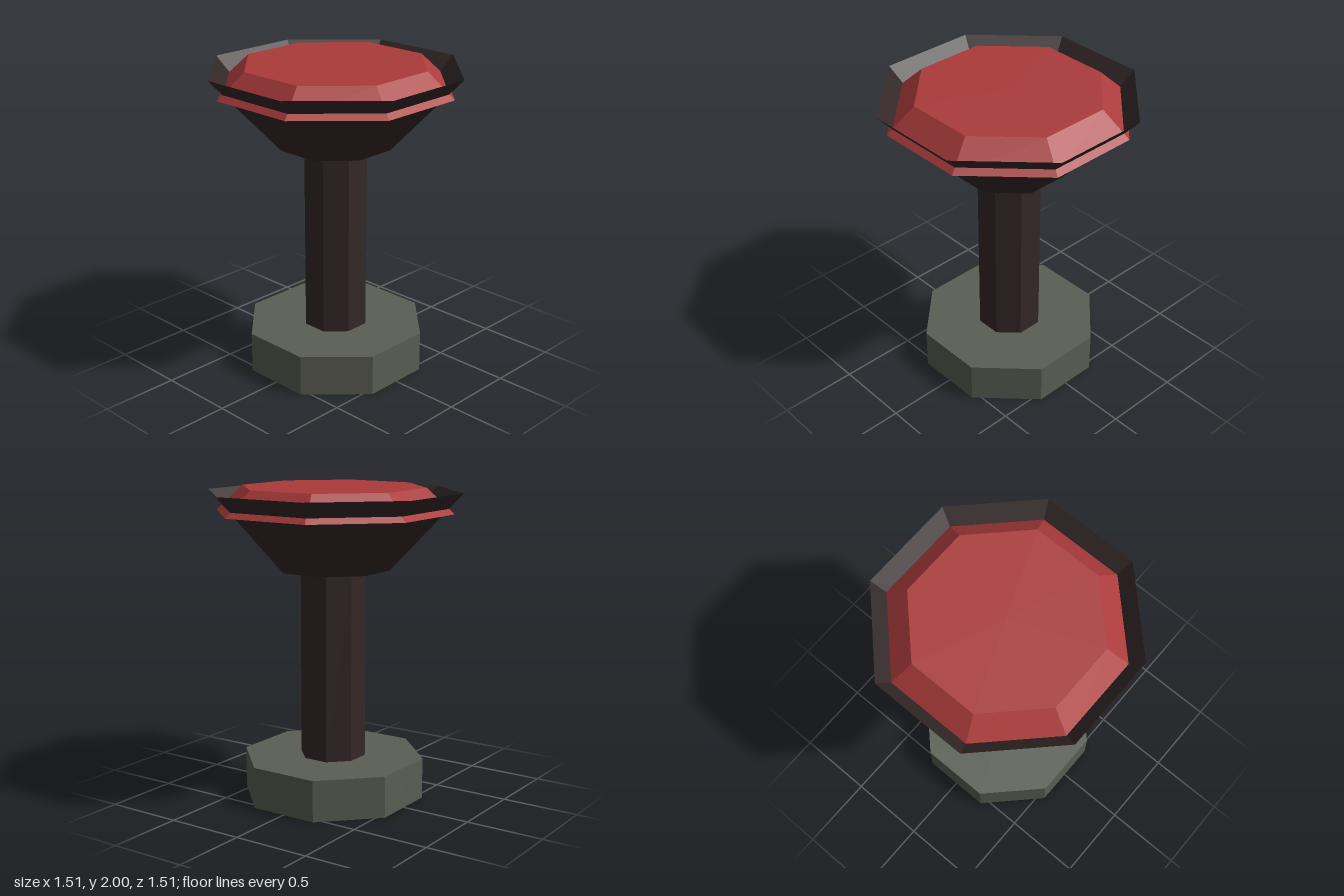
import * as THREE from 'three';

const material = (name, color) => {
  const m = new THREE.MeshStandardMaterial({ color, flatShading: true, side: THREE.DoubleSide });
  m.name = name;
  return m;
};

// Octagonal frustum wall with flats facing the axes; sizes are centre-to-flat
function octagonWall(name, mat, bottom, top, y0, y1) {
  const k = 1 / Math.cos(Math.PI / 8);
  const geometry = new THREE.CylinderGeometry(top * k, bottom * k, y1 - y0, 8, 1, true, Math.PI / 8);
  const mesh = new THREE.Mesh(geometry, mat);
  mesh.name = name;
  mesh.position.y = (y0 + y1) / 2;
  return mesh;
}

// Flat octagonal plate facing up or down
function octagonPlate(name, mat, size, y, facing) {
  const geometry = new THREE.CircleGeometry(size / Math.cos(Math.PI / 8), 8, Math.PI / 8);
  const mesh = new THREE.Mesh(geometry, mat);
  mesh.name = name;
  mesh.rotation.x = -facing * Math.PI / 2;
  mesh.position.y = y;
  return mesh;
}

export function createModel() {
  const stone = material('grey green', 0x5a5e53);
  const dark = material('dark brown', 0x342828);
  const red = material('cushion red', 0xab3b3b);

  const group = new THREE.Group();
  group.name = 'stool';
  group.add(
    // hollow foot, open underneath
    octagonWall('footWall', stone, 0.545, 0.545, 0, 0.265),
    octagonPlate('footTop', stone, 0.545, 0.265, 1),
    // column
    octagonWall('column', dark, 0.195, 0.195, 0.265, 1.48),
    // flared bowl, open at the top
    octagonWall('bowlWall', dark, 0.335, 0.755, 1.48, 1.97),
    octagonPlate('bowlFloor', dark, 0.335, 1.48, -1),
    // cushion, whose skirt pokes out through the bowl
    octagonWall('cushionSkirt', red, 0.705, 0.545, 1.84, 2),
    octagonPlate('cushionTop', red, 0.545, 2, 1)
  );
  return group;
}
